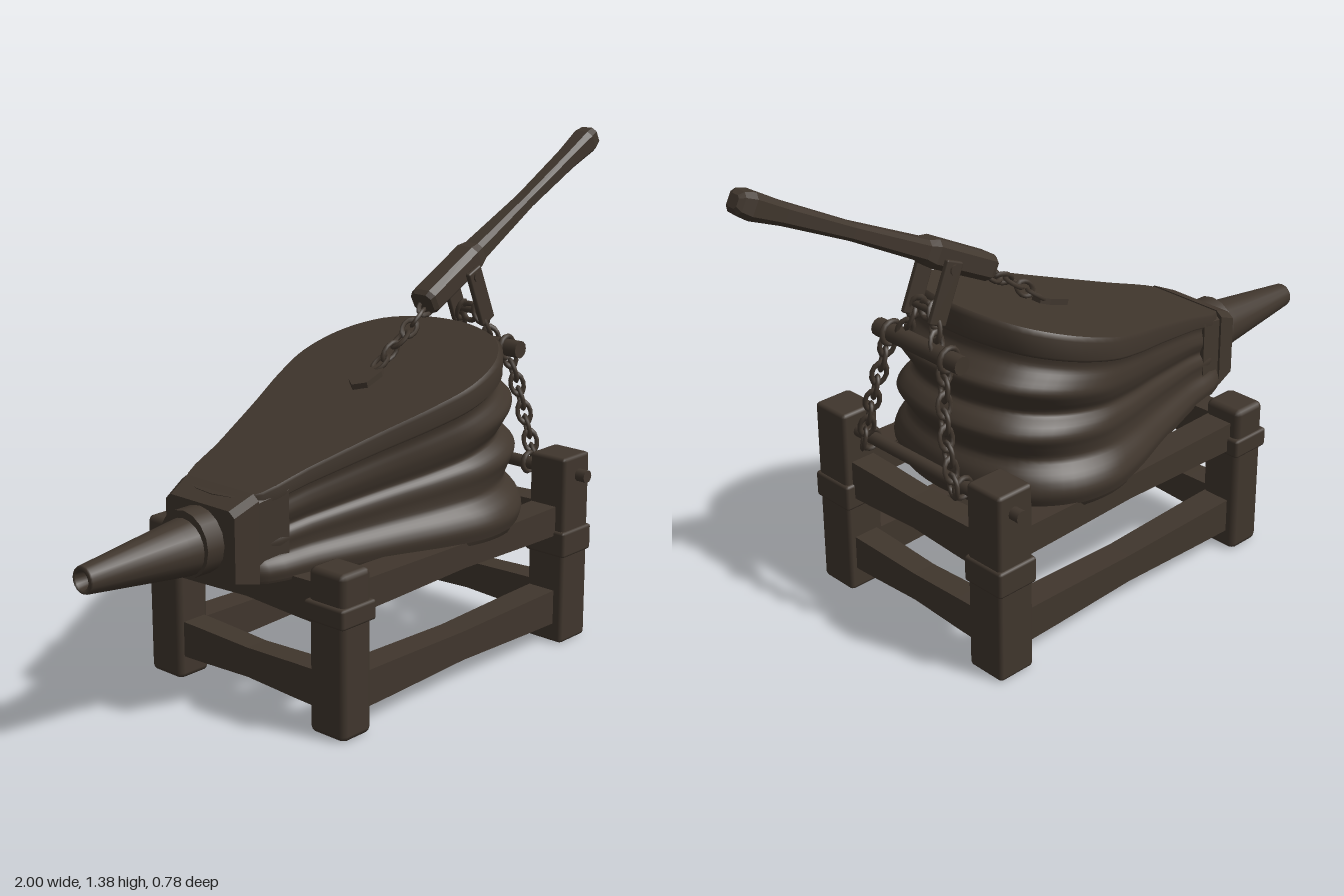
import * as THREE from 'three';
import { RoundedBoxGeometry } from 'three/addons/geometries/RoundedBoxGeometry.js';

const V = (x, y, z) => new THREE.Vector3(x, y, z);

export function createModel() {
  const model = new THREE.Group();
  const brown = new THREE.MeshStandardMaterial({ color: 0x40362d, side: THREE.DoubleSide });
  brown.name = 'dark brown';

  const add = (name, geo, pos = [0, 0, 0], parent = model) => {
    const m = new THREE.Mesh(geo, brown);
    m.name = name;
    m.position.set(...pos);
    parent.add(m);
    return m;
  };

  // Skin through a list of closed rings, with separate end caps
  const loft = (rings, flat = false) => {
    const n = rings[0].length, pts = rings.flat(), idx = [];
    for (let r = 0; r < rings.length - 1; r++) for (let i = 0; i < n; i++) {
      const a = r * n + i, b = r * n + (i + 1) % n;
      idx.push(a, b, a + n, b, b + n, a + n);
    }
    for (const [ring, end] of [[rings[0], 0], [rings[rings.length - 1], 1]]) {
      const c = ring.reduce((s, p) => s.add(p), V(0, 0, 0)).divideScalar(n);
      const base = pts.length;
      pts.push(...ring, c);
      for (let i = 0; i < n; i++) {
        const a = base + i, b = base + (i + 1) % n;
        end ? idx.push(a, b, base + n) : idx.push(b, a, base + n);
      }
    }
    let g = new THREE.BufferGeometry().setFromPoints(pts);
    g.setIndex(idx);
    if (flat) g = g.toNonIndexed();
    g.computeVertexNormals();
    return g;
  };

  const box = (name, x, y, z, pos, bevel = 0.01) =>
    add(name, new RoundedBoxGeometry(x, y, z, 1, bevel), pos);

  // Posts with bands
  for (const s of [-1, 1]) {
    box('rearPost', 0.115, 0.545, 0.12, [0.47, 0.2725, 0.3 * s]);
    box('rearPostBand', 0.128, 0.075, 0.135, [0.47, 0.295, 0.3 * s], 0.008);
    box('frontPost', 0.105, 0.445, 0.12, [-0.43, 0.2225, 0.3 * s], 0.016);
    box('frontPostBand', 0.125, 0.055, 0.135, [-0.43, 0.332, 0.3 * s], 0.008);
  }

  // Hewn rails, a little thinner in the middle
  const rail = (name, len, h, w, pos, turn = 0) => {
    const g = new THREE.BoxGeometry(len, h, w, 6, 1, 1).toNonIndexed(), p = g.attributes.position;
    for (let i = 0; i < p.count; i++) {
      const k = 0.82 + 0.18 * Math.min(1, Math.abs(p.getX(i)) / (len * 0.45));
      p.setY(i, p.getY(i) * k);
      p.setZ(i, p.getZ(i) * (0.5 + 0.5 * k));
    }
    g.computeVertexNormals();
    add(name, g, pos).rotation.y = turn;
  };
  for (const s of [-1, 1]) {
    rail('lowerSideRail', 0.84, 0.1, 0.085, [0.02, 0.105, 0.29 * s]);
    rail('upperSideRail', 0.84, 0.085, 0.085, [0.02, 0.36, 0.29 * s]);
  }
  for (const x of [-0.43, 0.47]) {
    rail('lowerCrossRail', 0.52, 0.1, 0.075, [x, 0.115, 0], Math.PI / 2);
    rail('upperCrossRail', 0.52, 0.11, 0.075, [x, 0.345, 0], Math.PI / 2);
  }

  // Bellows: teardrop plan swept up through the folds
  const half = [[-0.56, 0.13], [-0.38, 0.195], [-0.18, 0.265], [-0.02, 0.325], [0.11, 0.355],
    [0.24, 0.33], [0.34, 0.25], [0.39, 0.13]];
  const plan = new THREE.CatmullRomCurve3([
    ...half.map(([x, z]) => V(x, 0, z)), V(0.405, 0, 0),
    ...half.slice().reverse().map(([x, z]) => V(x, 0, -z))], true, 'centripetal').getPoints(72).slice(0, -1);
  const topY = x => 0.6 + 0.31 * (x + 0.61);
  const bellowsRing = (t, kx, kz) => plan.map(p => {
    const x = -0.56 + (p.x + 0.56) * kx;
    return V(x, THREE.MathUtils.lerp(0.395, topY(x), t), p.z * kz);
  });
  // Fold profile: height fraction, reach to the rear, reach to the sides
  const folds = [[0, 1, 0.98], [0.08, 1.01, 1], [0.16, 1, 0.96], [0.245, 0.975, 0.87], [0.32, 1.0, 0.87],
    [0.39, 1.02, 0.885], [0.45, 1.0, 0.86], [0.51, 0.97, 0.8], [0.58, 0.99, 0.835],
    [0.65, 1.01, 0.865], [0.72, 0.98, 0.85], [0.79, 0.95, 0.825], [0.86, 0.945, 0.84]];
  const profile = new THREE.CatmullRomCurve3(folds.map(f => V(...f)));
  add('leatherFolds', loft(profile.getPoints(48).map(p => bellowsRing(p.x, p.y, p.z))));
  add('lid', loft([[0.84, 0.945, 0.855], [0.86, 0.955, 0.875], [0.97, 0.955, 0.875], [1, 0.94, 0.855]]
    .map(r => bellowsRing(...r))));
  add('bottomBoard', loft([[-0.03, 0.98, 0.94], [-0.03, 1.0, 0.96], [0.05, 1.01, 0.99]]
    .map(r => bellowsRing(...r))));

  // Neck block, collar and hollow nozzle
  const rect = (x, y0, y1, z) => [V(x, y0, -z), V(x, y1 - 0.015, -z), V(x, y1, -z + 0.02),
    V(x, y1, z - 0.02), V(x, y1 - 0.015, z), V(x, y0, z)];
  add('neckBlock', loft([rect(-0.62, 0.405, 0.59, 0.125), rect(-0.55, 0.39, 0.622, 0.14),
    rect(-0.55, 0.395, 0.612, 0.133), rect(-0.46, 0.39, 0.635, 0.155)], true));
  const collar = add('collar', new THREE.CylinderGeometry(0.088, 0.088, 0.08, 16), [-0.635, 0.495, 0]);
  collar.rotation.z = Math.PI / 2;
  const nozzle = add('nozzle', new THREE.LatheGeometry([[0.077, 0], [0.07, 0.06], [0.036, 0.34],
    [0.034, 0.345], [0.024, 0.345], [0.02, 0.3], [0, 0.3]].map(p => new THREE.Vector2(...p)), 20),
  [-0.655, 0.488, 0]);
  nozzle.rotation.z = Math.PI / 2;

  // Lever
  const lever = new THREE.Group();
  lever.name = 'lever';
  lever.position.set(0.225, 0.962, 0);
  lever.rotation.z = 0.477;
  model.add(lever);
  const section = ([s, h, w]) => [[1, 0.6], [0.6, 1], [-0.6, 1], [-1, 0.6], [-1, -0.6], [-0.6, -1], [0.6, -1], [1, -0.6]]
    .map(([a, b]) => V(s, a * h, b * w));
  add('leverArm', loft([[0, 0.03, 0.036], [0.015, 0.036, 0.042], [0.22, 0.038, 0.042], [0.25, 0.029, 0.036],
    [0.5, 0.022, 0.027], [0.72, 0.027, 0.03], [0.82, 0.034, 0.036], [0.85, 0.028, 0.03], [0.86, 0.016, 0.018]]
    .map(section), true), [0, 0, 0], lever);

  // Hanger plates beside the lever
  const round = (name, r, len, pos) => {
    add(name, new THREE.CylinderGeometry(r, r, len, 12), pos).rotation.x = Math.PI / 2;
  };
  for (const s of [-1, 1]) {
    const plate = box('hangerPlate', 0.056, 0.17, 0.016, [0.413, 0.962, 0.05 * s], 0.005);
    plate.rotation.z = 0.4;
  }
  round('hangerPin', 0.014, 0.125, [0.388, 1.02, 0]);
  round('hangerLowerPin', 0.011, 0.115, [0.434, 0.912, 0]);
  round('chainBar', 0.025, 0.32, [0.46, 0.815, 0]);
  round('framePin', 0.018, 0.78, [0.478, 0.487, 0]);

  // Chains: oval links, each turned a quarter from the last
  const linkGeo = new THREE.TorusGeometry(0.019, 0.0065, 6, 12).scale(1.55, 1, 1);
  const chain = (name, pts, spacing = 0.043) => {
    const g = new THREE.Group();
    g.name = name;
    model.add(g);
    const curve = new THREE.CatmullRomCurve3(pts), n = Math.round(curve.getLength() / spacing);
    for (let i = 0; i <= n; i++) {
      const link = add('link', linkGeo, curve.getPointAt(i / n).toArray(), g);
      link.quaternion.setFromUnitVectors(V(1, 0, 0), curve.getTangentAt(i / n));
      link.rotateX(i % 2 * Math.PI / 2 + 0.4);
    }
  };
  chain('lidChain', [V(0.24, 0.95, 0), V(0.13, 0.885, 0.01), V(0.05, 0.825, 0)]);
  for (const s of [-1, 1]) {
    chain('sideChain', [V(0.475, 0.785, 0.11 * s), V(0.5, 0.66, 0.135 * s), V(0.512, 0.5, 0.175 * s)]);
    chain('hangerLinks', [V(0.436, 0.905, 0.035 * s), V(0.455, 0.84, 0.06 * s)]);
    add('barRing', new THREE.TorusGeometry(0.031, 0.008, 6, 14), [0.46, 0.815, 0.11 * s]);
    add('pinRing', new THREE.TorusGeometry(0.027, 0.008, 6, 14), [0.485, 0.487, 0.18 * s]);
  }
  const shackle = add('shackle', new THREE.TorusGeometry(0.024, 0.008, 6, 14), [0.432, 0.905, 0]);
  shackle.rotation.y = Math.PI / 2;

  // Pointed anchor plate on the lid
  const outline = new THREE.Shape([[-0.06, 0], [-0.035, 0.033], [0.03, 0.03], [0.055, 0.016], [0.055, -0.016],
    [0.03, -0.03], [-0.035, -0.033]].map(p => new THREE.Vector2(...p)));
  const anchor = add('lidAnchor', new THREE.ExtrudeGeometry(outline, { depth: 0.02, bevelEnabled: false })
    .rotateX(-Math.PI / 2), [0.0, topY(0) - 0.004, 0]);
  anchor.rotation.z = Math.atan(0.31);
  return model;
}
